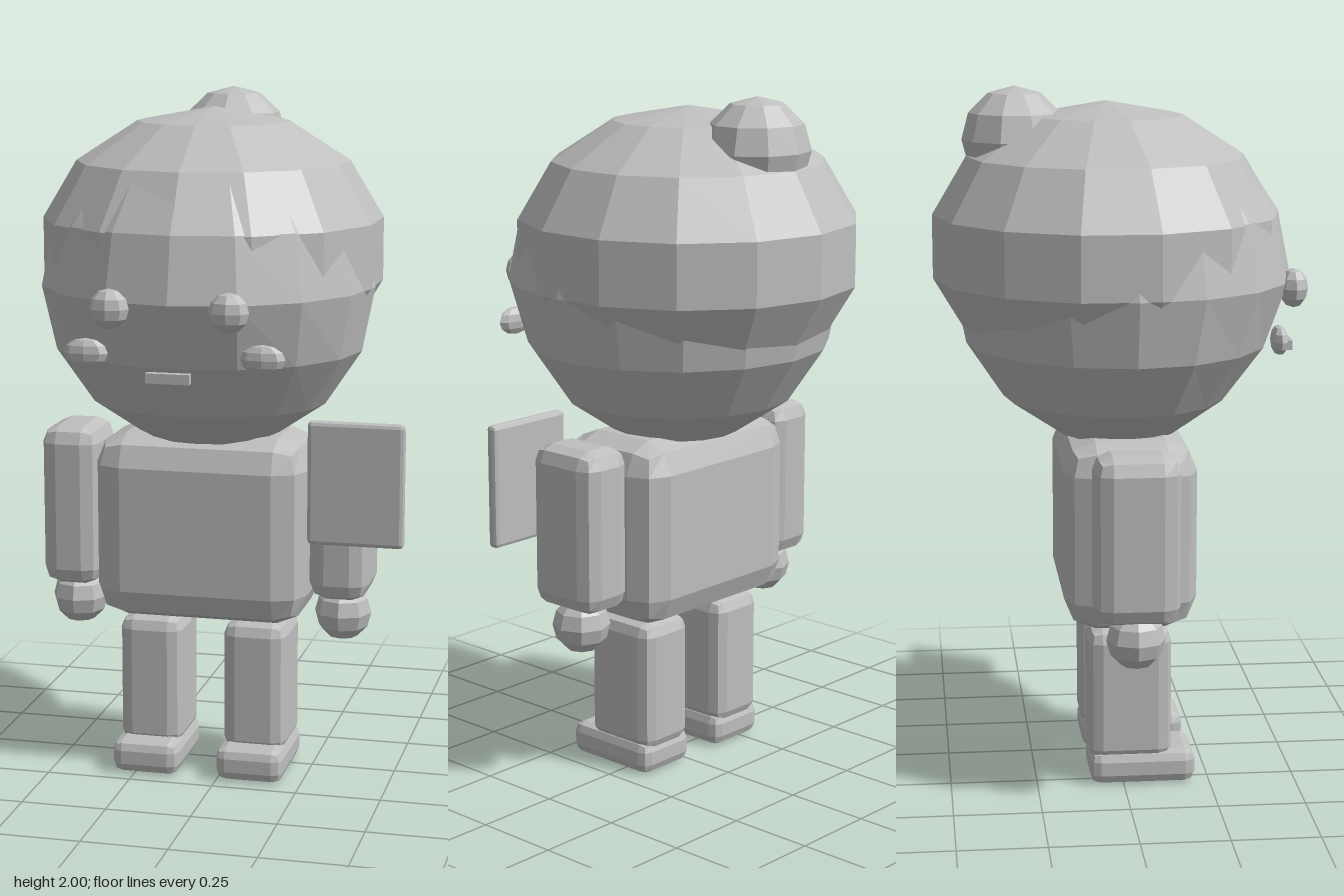
import * as THREE from 'three';
import { RoundedBoxGeometry } from 'three/addons/geometries/RoundedBoxGeometry.js';

const CX = -0.06; // the figure's own middle; the held board shifts it off x = 0

export function createModel() {
  const model = new THREE.Group();
  const grey = new THREE.MeshStandardMaterial({ color: 0xbfbfbf, flatShading: true });
  grey.name = 'plain grey';

  const add = (name, geometry, x, y, z) => {
    const mesh = new THREE.Mesh(geometry, grey);
    mesh.name = name;
    mesh.position.set(x, y, z);
    model.add(mesh);
    return mesh;
  };
  const block = (name, [w, h, d], bevel, [x, y, z]) =>
    add(name, new RoundedBoxGeometry(w, h, d, 1, bevel), x, y, z);
  const ball = (name, [rx, ry, rz], around, rows, [x, y, z]) => {
    // turned so that a column of corners faces the front
    const g = new THREE.SphereGeometry(1, around, rows).rotateY(Math.PI / 2).scale(rx, ry, rz);
    return add(name, g, x, y, z);
  };

  // head, its lower front receding towards the chin
  const head = ball('head', [0.487, 0.487, 0.487], 16, 8, [CX, 1.455, 0.018]);
  const p = head.geometry.attributes.position;
  for (let i = 0; i < p.count; i++) {
    if (p.getY(i) < -0.01 && p.getZ(i) > 0) p.setZ(i, p.getZ(i) * (1 + 0.4 * p.getY(i)));
  }

  // hair cap and bun
  ball('hair', [0.507, 0.41, 0.507], 14, 7, [CX, 1.547, -0.03]);
  ball('hairBun', [0.158, 0.15, 0.15], 10, 6, [CX, 1.85, -0.288]);

  // torso
  block('torso', [0.63, 0.55, 0.38], 0.09, [CX, 0.745, 0.02]);

  // mirrored parts
  for (const [side, s] of [['left', 1], ['right', -1]]) {
    ball(side + 'Eye', [0.057, 0.056, 0.042], 8, 6, [CX + s * 0.168, 1.44, 0.488]);
    ball(side + 'Cheek', [0.064, 0.042, 0.025], 8, 6, [CX + s * 0.251, 1.306, 0.435]);
    block(side + 'Arm', [0.175, 0.48, 0.24], 0.05, [CX + s * 0.403, 0.785, 0.018]);
    ball(side + 'Hand', [0.084, 0.084, 0.084], 8, 6, [CX + s * 0.403, 0.49, 0.018]);
    block(side + 'Leg', [0.188, 0.4, 0.24], 0.04, [CX + s * 0.157, 0.265, 0.02]);
    block(side + 'Foot', [0.2, 0.1, 0.305], 0.03, [CX + s * 0.157, 0.05, 0.056]);
  }

  // mouth
  add('mouth', new THREE.BoxGeometry(0.124, 0.028, 0.024), CX, 1.255, 0.495);

  // board held by the left arm
  block('board', [0.28, 0.36, 0.034], 0.012, [0.405, 0.91, 0.172]);

  return model;
}
